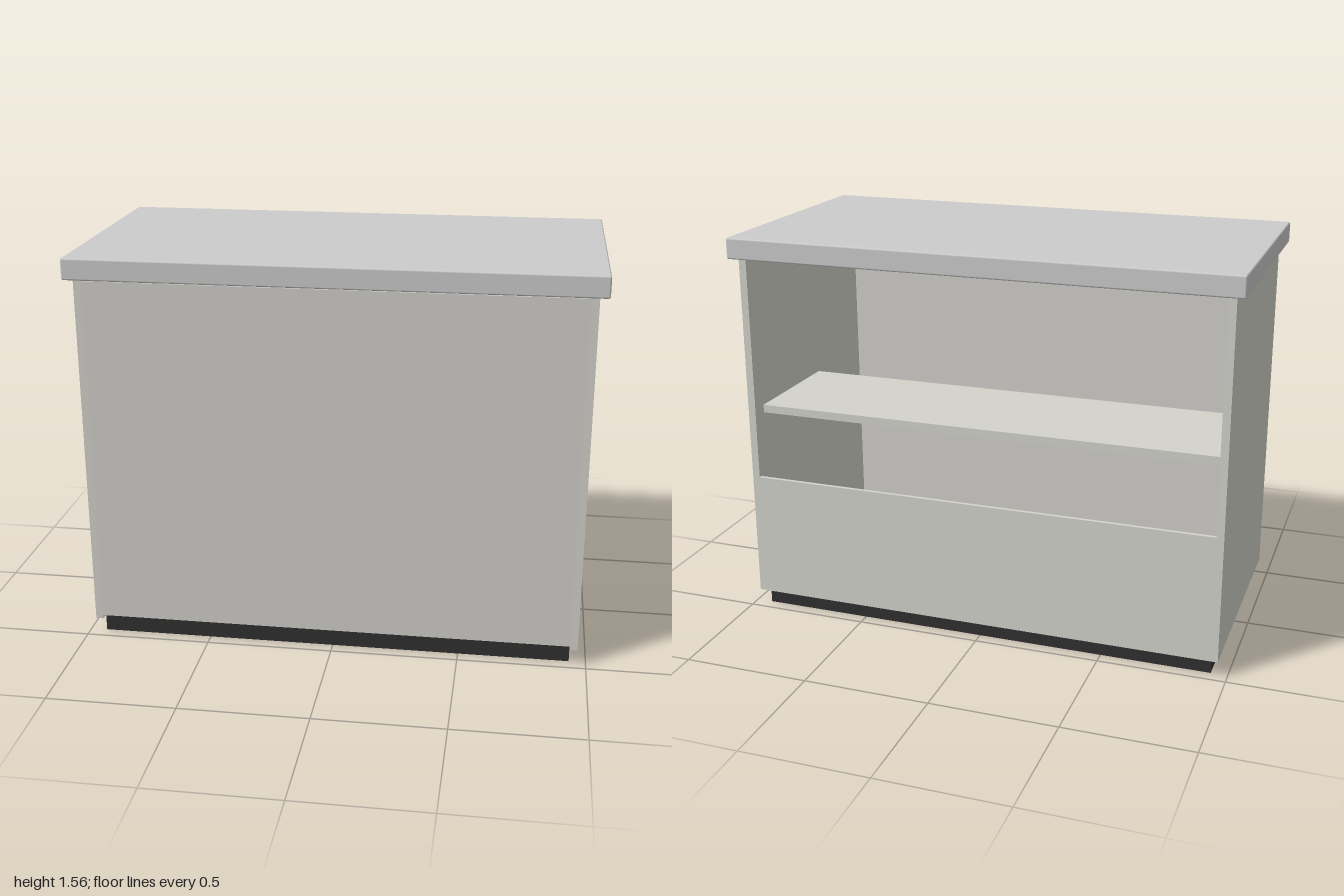
import * as THREE from 'three';
import { RoundedBoxGeometry } from 'three/addons/geometries/RoundedBoxGeometry.js';

const paint = (color) => new THREE.MeshStandardMaterial({ color });

export function createModel() {
  const counter = new THREE.Group();
  counter.name = 'counter';

  const panelMat = paint(0xd0cfcb);
  const sideMat = paint(0xd3d2cb);
  const topMat = paint(0xd2d2cf);
  const plinthMat = paint(0x303030);

  // Box given by its [min, max] range on each axis, optionally with eased edges
  function slab(name, [x0, x1], [y0, y1], [z0, z1], material, radius = 0) {
    const size = [x1 - x0, y1 - y0, z1 - z0];
    const geometry = radius
      ? new RoundedBoxGeometry(...size, 2, radius)
      : new THREE.BoxGeometry(...size);
    const mesh = new THREE.Mesh(geometry, material);
    mesh.name = name;
    mesh.position.set((x0 + x1) / 2, (y0 + y1) / 2, (z0 + z1) / 2);
    counter.add(mesh);
  }

  const inner = 0.935; // inside face of the side panels
  const outer = 0.965;
  const base = 0.068; // top of the plinth
  const underTop = 1.477;

  // Recessed dark plinth, which is also the cabinet floor
  slab('plinth', [-inner, inner], [0, base], [-0.45, 0.45], plinthMat);

  // Side panels
  slab('leftSide', [inner, outer], [base, underTop], [-0.485, 0.485], sideMat);
  slab('rightSide', [-outer, -inner], [base, underTop], [-0.485, 0.485], sideMat);

  // Thin front sheet, slightly proud, with a gap above and below
  slab('frontPanel', [-inner, inner], [0.085, 1.47], [0.482, 0.488], panelMat);

  // Low back panel, leaving the upper back open
  slab('backPanel', [-inner, inner], [base, 0.575], [-0.485, -0.47], sideMat);

  // Half-depth shelf inside
  slab('shelf', [-inner, inner], [0.832, 0.864], [-0.418, 0.075], sideMat);

  // Overhanging worktop with eased edges
  slab('worktop', [-1, 1], [underTop, 1.56], [-0.515, 0.515], topMat, 0.007);

  return counter;
}
